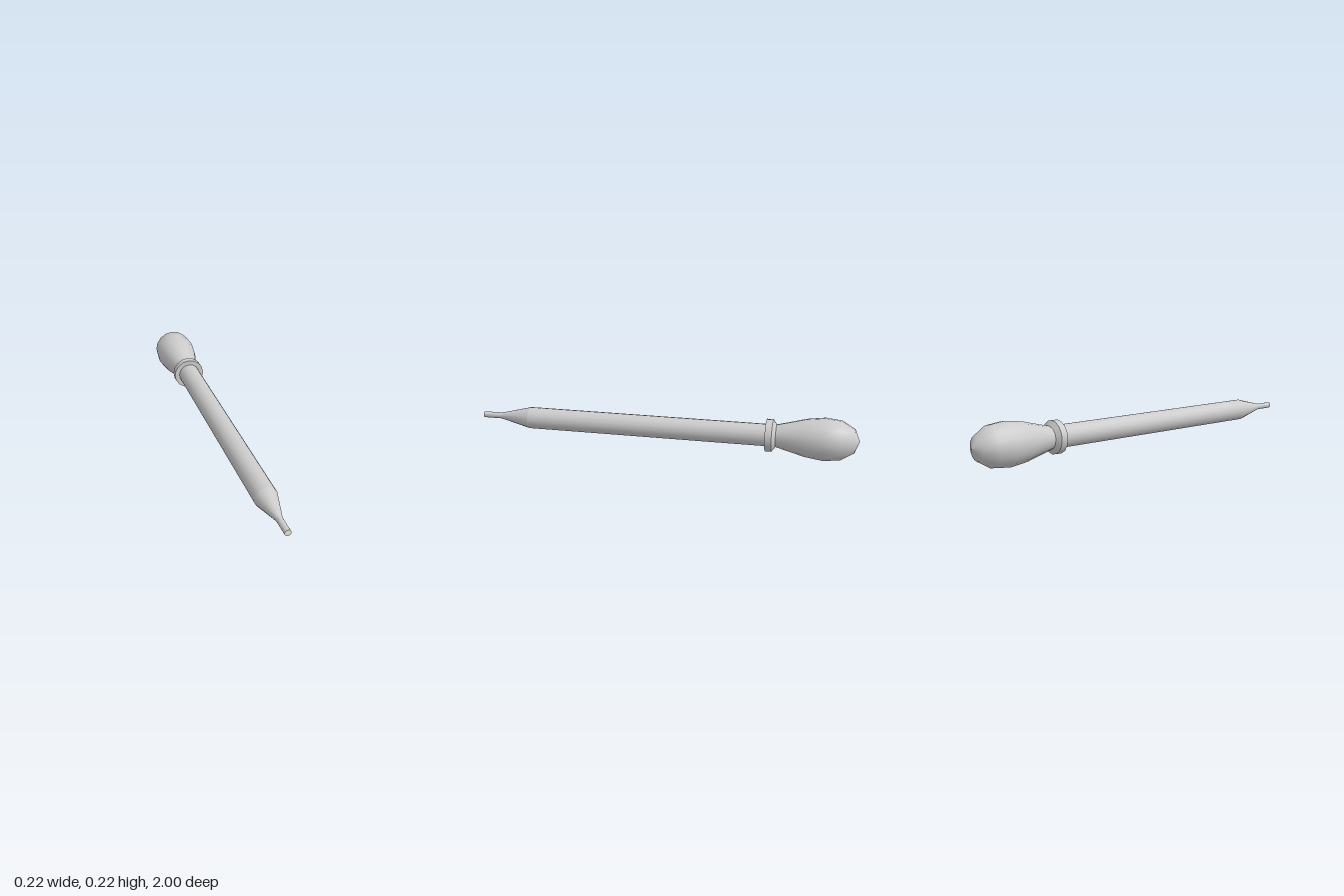
import * as THREE from 'three';

const SIDES = 16;
const AXIS_HEIGHT = 0.111;

// Spins a profile of [radius, z] points, back to front, around the long axis
function turned(name, profile, material) {
  const points = profile.map(([r, z]) => new THREE.Vector2(r, z));
  const geometry = new THREE.LatheGeometry(points, SIDES);
  geometry.rotateX(Math.PI / 2);
  const mesh = new THREE.Mesh(geometry, material);
  mesh.name = name;
  return mesh;
}

export function createModel() {
  const grey = new THREE.MeshStandardMaterial({ color: 0xcccccc });
  const cream = new THREE.MeshStandardMaterial({ color: 0xe6e8c4 });
  const model = new THREE.Group();
  model.name = 'dropper';

  // Squeeze bulb narrowing to a neck, then flaring into the collar
  model.add(turned('bulb', [
    [0, -1], [0.06, -0.975], [0.1, -0.908], [0.109, -0.825],
    [0.096, -0.73], [0.077, -0.66], [0.058, -0.585],
  ], grey));

  // Collar: sloped back, straight rim and flat front face
  const collar = new THREE.Group();
  collar.name = 'collar';
  collar.add(
    turned('collarSlope', [[0.058, -0.585], [0.083, -0.567]], grey),
    turned('collarRim', [[0.083, -0.567], [0.083, -0.533]], grey),
    turned('collarFace', [[0.083, -0.533], [0.05, -0.533]], grey),
  );
  model.add(collar);

  // Glass tube, tapered shoulder and thin nozzle
  model.add(turned('tube', [[0.057, -0.56], [0.057, 0.735]], grey));
  model.add(turned('taper', [[0.057, 0.735], [0.016, 0.9]], grey));
  model.add(turned('nozzle', [[0.016, 0.9], [0.016, 1]], grey));

  // Pale end of the nozzle
  const tip = new THREE.Mesh(new THREE.CircleGeometry(0.016, SIDES), cream);
  tip.name = 'nozzleTip';
  tip.position.z = 1;
  model.add(tip);

  model.children.forEach((part) => { part.position.y = AXIS_HEIGHT; });
  return model;
}
